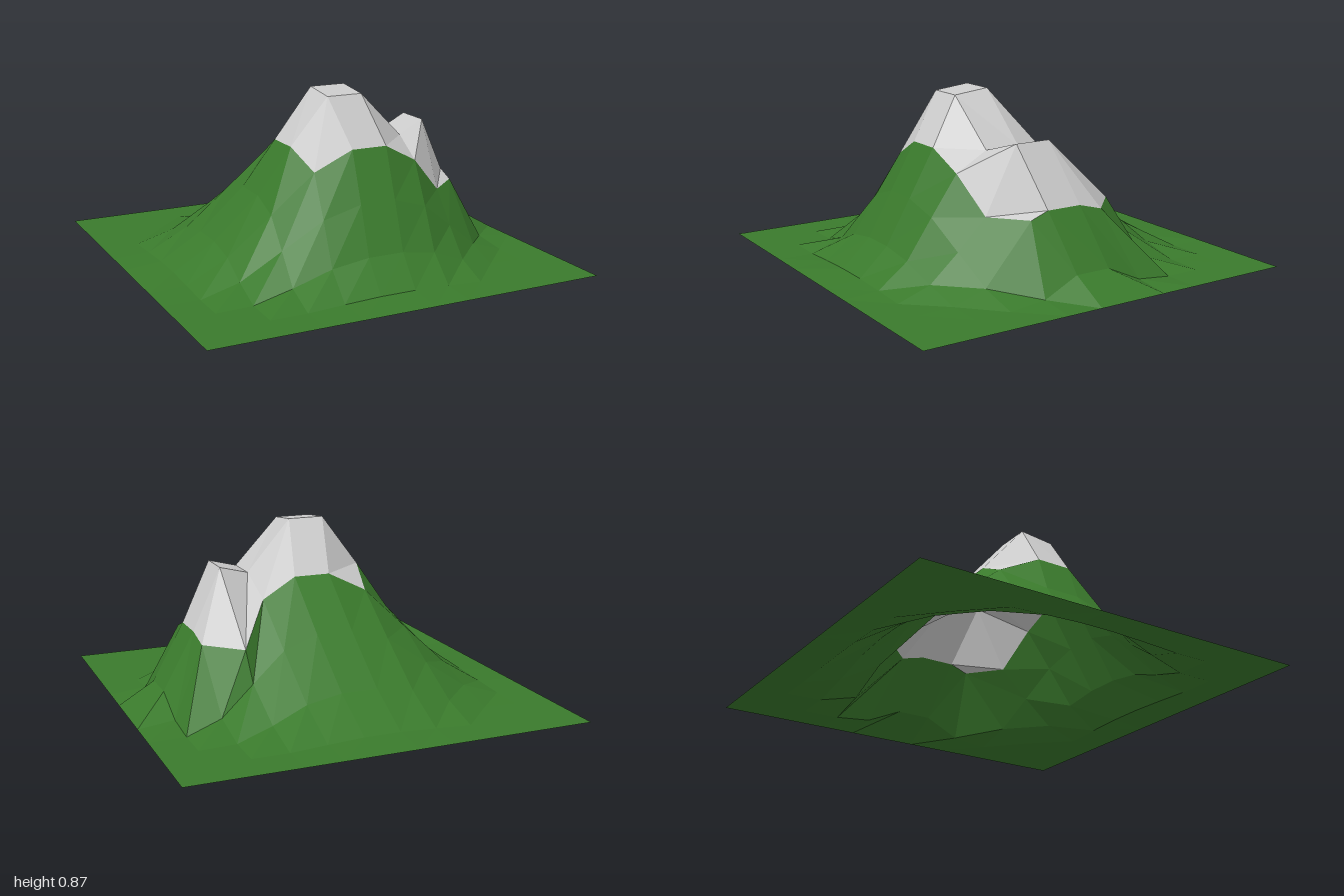
import * as THREE from 'three';

const N = 11; // cells per side
const smooth = (t) => { t = Math.min(1, Math.max(0, t)); return t * t * (3 - 2 * t); };

// Second peak, by grid column: ridge height, shoulder height, back and front shoulder z
const secondPeak = {
  8: [0.665, 0.34, -0.33, 0.37],
  9: [0.375, 0.34, -0.17, 0.23],
  10: [0.105, 0.02, -0.27, 0.27],
};

// Position of a grid point: a soft hill around the centre cell, leaning forward
function point(col, row) {
  let x = -1 + (2 * col) / N, z = -1 + (2 * row) / N, y;
  const half = 1 / N;
  const r = Math.hypot(Math.max(0, Math.abs(x) - half), Math.max(0, Math.abs(z) - half));
  const lean = smooth(1 - r / 0.8);
  const core = r < 0.01;
  y = core ? (row === 5 ? 0.865 : 0.845) : 0.855 * smooth(1 - (r + 0.158) / 0.97);
  const inner = row === 5 || row === 6;
  if (!core && !(col === 4 && inner)) x += 0.06 * lean;
  z += 0.2 * lean;

  const peak = secondPeak[col];
  if (peak && inner) y = peak[0];
  if (peak && (row === 4 || row === 7)) {
    y = peak[1];
    z = row === 4 ? peak[2] : peak[3];
  }
  return [x, y, z];
}

// The snow cap covers a block of cells over both peaks
const isSnow = (col, row) => col >= 4 && col <= 8 && row >= 4 && row <= 6;

function surface(name, color, accept) {
  const positions = [];
  for (let row = 0; row < N; row++) {
    for (let col = 0; col < N; col++) {
      if (!accept(col, row)) continue;
      const a = point(col, row), b = point(col, row + 1);
      const c = point(col + 1, row + 1), d = point(col + 1, row);
      positions.push(...a, ...b, ...d, ...b, ...c, ...d);
    }
  }
  const geometry = new THREE.BufferGeometry();
  geometry.setAttribute('position', new THREE.Float32BufferAttribute(positions, 3));
  geometry.computeVertexNormals();
  const mesh = new THREE.Mesh(geometry, new THREE.MeshStandardMaterial({
    color, flatShading: true, side: THREE.DoubleSide,
  }));
  mesh.name = name;
  return mesh;
}

export function createModel() {
  const group = new THREE.Group();
  group.name = 'mountain';
  // Grassy slopes and surrounding plain
  group.add(surface('grassSlopes', 0x3a7a2c, (c, r) => !isSnow(c, r)));
  // Pale cap over the twin peaks
  group.add(surface('snowCap', 0xcccccc, isSnow));
  return group;
}
